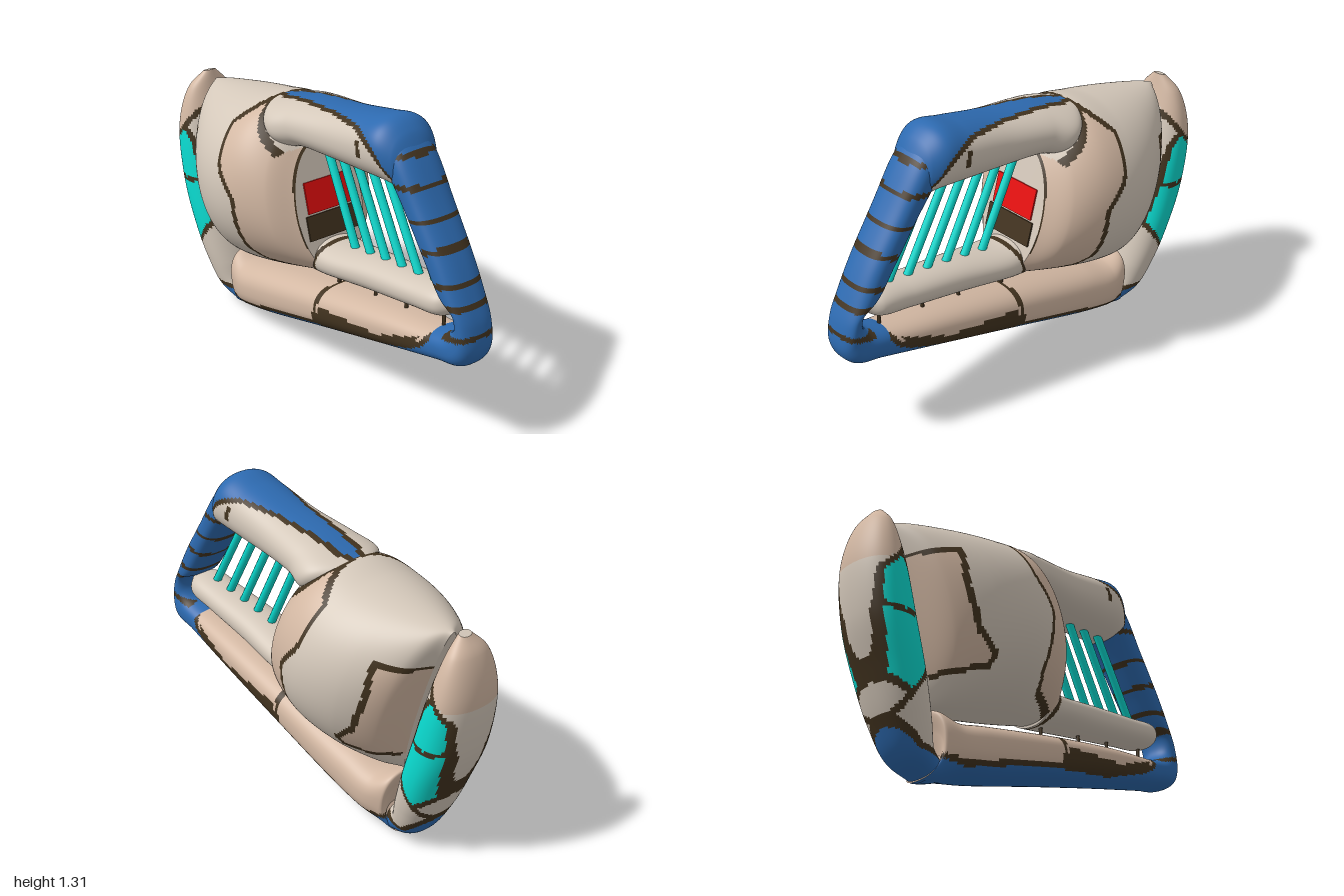
import * as THREE from 'three';

const mat = (name, color) => Object.assign(new THREE.MeshStandardMaterial({ color }), { name });
const BEIGE = 0, TAN = 1, BLUE = 2, DARK = 3, TEAL = 4, RED = 5;

// is (x, y) inside the polygon
function inside(x, y, poly) {
  let hit = false;
  for (let i = 0, j = poly.length - 1; i < poly.length; j = i++) {
    const [ax, ay] = poly[i], [bx, by] = poly[j];
    if ((ay > y) !== (by > y) && x < ((bx - ax) * (y - ay)) / (by - ay) + ax) hit = !hit;
  }
  return hit;
}

// is (x, y) within w of the polyline
function near(x, y, line, w) {
  for (let i = 0; i + 1 < line.length; i++) {
    const [ax, ay] = line[i], dx = line[i + 1][0] - ax, dy = line[i + 1][1] - ay;
    const t = THREE.MathUtils.clamp(((x - ax) * dx + (y - ay) * dy) / (dx * dx + dy * dy), 0, 1);
    if (Math.hypot(x - ax - t * dx, y - ay - t * dy) < w) return true;
  }
  return false;
}

// Inflated cushion: rows are [left edge x, y, right edge x, y, half thickness] along its length.
// Areas and lines choose the colour of each face. They lie in the xy plane, or, when wrap is
// [length, size per radian], in distance along the cushion and distance around it.
function cushion(rows, nu, nv, power, base, areas, lines, wrap) {
  const left = new THREE.CatmullRomCurve3(rows.map(r => new THREE.Vector3(r[0], r[1], r[4])));
  const right = new THREE.CatmullRomCurve3(rows.map(r => new THREE.Vector3(r[2], r[3], 0)));
  const soft = v => Math.sign(v) * Math.abs(v) ** (2 / power);
  const pos = [], lists = [[], [], [], [], [], []];
  for (let i = 0; i <= nu; i++) {
    const l = left.getPoint(i / nu), r = right.getPoint(i / nu);
    for (let j = 0; j < nv; j++) {
      const a = (j / nv) * Math.PI * 2, c = soft(Math.cos(a));
      pos.push((l.x + r.x + (l.x - r.x) * c) / 2, (l.y + r.y + (l.y - r.y) * c) / 2, l.z * soft(Math.sin(a)));
    }
  }
  const colourAt = (x, y) => {
    if (lines.some(l => near(x, y, l, 0.0115))) return DARK;
    let m = base;
    for (const [k, poly] of areas) if (inside(x, y, poly)) m = k;
    return m;
  };
  for (let i = 0; i < nu; i++) for (let j = 0; j < nv; j++) {
    const a = i * nv + j, b = i * nv + ((j + 1) % nv), c = a + nv, d = b + nv;
    const around = Math.min(j + 0.5, nv - j - 0.5) / nv * Math.PI * 2;
    const m = wrap
      ? colourAt((i + 0.5) / nu * wrap[0], around * wrap[1])
      : colourAt((pos[a * 3] + pos[d * 3]) / 2, (pos[a * 3 + 1] + pos[d * 3 + 1]) / 2);
    lists[m].push(a, b, c, b, d, c);
  }
  // closed ends with their own rim points
  for (const i of [0, nu]) {
    const start = pos.length / 3, s = i * nv * 3;
    const rim = pos.slice(s, s + nv * 3), mid = [0, 0, 0];
    rim.forEach((v, k) => { mid[k % 3] += v / nv; });
    pos.push(...rim, ...mid);
    for (let j = 0; j < nv; j++) {
      const a = start + j, b = start + ((j + 1) % nv), c = start + nv;
      lists[base].push(...(i ? [a, b, c] : [b, a, c]));
    }
  }
  const geo = new THREE.BufferGeometry();
  geo.setAttribute('position', new THREE.Float32BufferAttribute(pos, 3));
  let at = 0;
  lists.forEach((l, k) => { if (l.length) geo.addGroup(at, l.length, k); at += l.length; });
  geo.setIndex(lists.flat());
  geo.computeVertexNormals();
  return geo;
}

export function createModel() {
  const mats = [
    mat('beige', 0xd4c8ba), mat('tan', 0xd3b8a3), mat('blue', 0x2d6ab0),
    mat('darkBrown', 0x42331f), mat('teal', 0x0adbd0), mat('red', 0xf81010),
  ];
  const model = new THREE.Group();
  const add = (name, geo, material) => {
    const mesh = new THREE.Mesh(geo, material);
    mesh.name = name;
    model.add(mesh);
    return mesh;
  };
  const rod = (name, a, b, r, material) => {
    const from = new THREE.Vector3(...a, 0), to = new THREE.Vector3(...b, 0);
    const mesh = add(name, new THREE.CylinderGeometry(r, r, from.distanceTo(to), 12), material);
    mesh.position.lerpVectors(from, to, 0.5);
    mesh.quaternion.setFromUnitVectors(new THREE.Vector3(0, 1, 0), to.sub(from).normalize());
  };

  // big round body
  const saddle = [[-0.26, 1.18], [-0.34, 1.08], [-0.31, 0.92], [-0.2, 0.78], [-0.19, 0.54], [-0.14, 0.475], [0.09, 0.46]];
  const panel = [[-0.78, 0.92], [-0.64, 0.945], [-0.62, 0.78], [-0.55, 0.6], [-0.46, 0.52], [-0.47, 0.475], [-0.62, 0.43]];
  add('body', cushion([
    [-0.83, 1.08, -0.605, 0.315, 0.06], [-0.775, 1.095, -0.54, 0.32, 0.21], [-0.61, 1.125, -0.41, 0.345, 0.325],
    [-0.42, 1.155, -0.24, 0.385, 0.37], [-0.25, 1.18, -0.1, 0.415, 0.345], [-0.13, 1.12, 0.03, 0.445, 0.28],
    [-0.05, 1.03, 0.11, 0.46, 0.175],
  ], 110, 160, 2.05, BEIGE,
  [[TAN, [...saddle, [0.3, 0.5], [0.2, 1.1], [-0.08, 1.0], [-0.18, 1.08]]], [TAN, [...panel, [-0.72, 0.4], [-0.88, 0.92]]]],
  [saddle, panel, [[-0.26, 1.18], [-0.18, 1.08], [-0.085, 1.0]], [[-0.045, 1.03], [0.08, 0.6]]]), mats);

  // upper arm with its blue top, a wedge that widens to wrap the far end
  const ridge = [[0, 0.015], [0.27, 0.045], [0.41, 0.075], [0.54, 0.13], [0.68, 0.225], [0.82, 0.33], [0.96, 0.42]];
  const root = [[0, 0.015], [0.13, 0.48]];
  add('upperArm', cushion([
    [-0.32, 1.17, -0.2, 1.0, 0.1], [-0.22, 1.19, -0.1, 1.0, 0.2], [-0.08, 1.22, 0, 1.02, 0.18],
    [0.15, 1.25, 0.18, 1.025, 0.16], [0.36, 1.29, 0.38, 1.035, 0.16], [0.48, 1.31, 0.52, 1.04, 0.155],
    [0.55, 1.27, 0.59, 1.03, 0.12], [0.61, 1.18, 0.61, 1.04, 0.07],
  ], 110, 80, 2.2, BEIGE, [[BLUE, [...ridge, [1, 0.42], [1, -0.1], [0, -0.1]]], [TAN, [...root, [0, 0.48]]]],
  [ridge, root, [[0.575, 0.2], [0.585, 0.25]]], [0.95, 0.15]), mats);

  // blue sloping post with dark bands
  const bands = [
    [[0.5, 1.17], [0.66, 1.2]], [[0.55, 1.06], [0.75, 1.09]], [[0.6, 0.925], [0.8, 0.98]], [[0.68, 0.815], [0.88, 0.88]],
    [[0.76, 0.715], [0.95, 0.74]], [[0.82, 0.65], [1, 0.65]], [[0.86, 0.5], [1.05, 0.55]],
  ];
  add('slopingPost', cushion([
    [0.78, 0.49, 0.84, 0.365, 0.1], [0.87, 0.52, 0.96, 0.395, 0.1], [0.9, 0.57, 1, 0.46, 0.09], [0.885, 0.64, 0.985, 0.57, 0.09],
    [0.82, 0.67, 0.94, 0.67, 0.1], [0.72, 0.8, 0.87, 0.8, 0.105], [0.6, 0.97, 0.73, 1.01, 0.11],
    [0.52, 1.07, 0.61, 1.19, 0.115], [0.45, 1.14, 0.52, 1.29, 0.1],
  ], 110, 56, 2.5, BLUE, [], bands), mats);

  // bottom rail
  const hem = [[-0.85, 0.22], [-0.7, 0.1], [-0.47, 0.085], [-0.2, 0.16], [0.1, 0.235], [0.44, 0.3], [0.7, 0.39], [0.76, 0.43], [0.83, 0.53]];
  const hemArea = [...hem, [1.1, 0.53], [1.1, -0.1], [-0.85, -0.1]];
  const wedge = [[0.1, 0.24], [0.13, 0.33], [0.5, 0.36], [0.74, 0.45], [0.7, 0.38], [0.44, 0.3]];
  add('bottomRail', cushion([
    [-0.55, 0.12, -0.62, 0, 0.085], [-0.575, 0.21, -0.58, 0.005, 0.105], [-0.595, 0.3, -0.545, 0.015, 0.125],
    [-0.5, 0.275, -0.46, 0.045, 0.15], [-0.35, 0.305, -0.3, 0.08, 0.155], [0.1, 0.395, 0.12, 0.19, 0.145],
    [0.5, 0.46, 0.52, 0.29, 0.125], [0.78, 0.49, 0.84, 0.365, 0.1],
  ], 190, 56, 2.5, TAN, [[BLUE, hemArea], [DARK, wedge]], [hem, [[0.1, 0.235], [0.11, 0.42]]]), mats);

  // rail under the opening
  add('innerRail', cushion([
    [0.02, 0.62, 0.04, 0.435, 0.12], [0.12, 0.605, 0.13, 0.455, 0.13], [0.4, 0.64, 0.4, 0.495, 0.11],
    [0.65, 0.665, 0.67, 0.535, 0.1], [0.8, 0.68, 0.82, 0.56, 0.09], [0.855, 0.665, 0.86, 0.59, 0.05],
  ], 90, 48, 2.2, BEIGE, [], [[[0.06, 0.45], [0.1, 0.6]]]), mats);

  // tail lobe at the right-hand end
  const pane = [[-0.88, 0.86], [-0.83, 0.8], [-0.77, 0.62], [-0.695, 0.435], [-0.79, 0.28], [-0.88, 0.35], [-0.955, 0.6], [-0.965, 0.77], [-0.88, 0.86]];
  add('tailLobe', cushion([
    [-0.87, 1.11, -0.91, 1.1, 0.03], [-0.85, 1.03, -0.96, 1.03, 0.1], [-0.8, 0.86, -1, 0.86, 0.155],
    [-0.725, 0.6, -0.975, 0.6, 0.17], [-0.667, 0.4, -0.9, 0.39, 0.165], [-0.615, 0.22, -0.82, 0.2, 0.14],
    [-0.59, 0.13, -0.73, 0.06, 0.11], [-0.56, 0.11, -0.6, 0.0, 0.085],
  ], 120, 80, 2.2, BEIGE,
  [[TAN, [[-1.1, 0.8], [-0.87, 0.84], [-0.83, 1], [-0.83, 1.2], [-1.1, 1.2]]], [BLUE, hemArea], [TEAL, pane]],
  [pane, hem, [[-0.95, 0.62], [-0.86, 0.6], [-0.76, 0.62]], [[-0.88, 0.86], [-0.83, 0.95]], [[-0.79, 0.28], [-0.83, 0.18]]]), mats);

  // six slanting bars across the opening
  for (let i = 0; i < 6; i++)
    rod('bar', [-0.005 + 0.096 * i, 1.05 + 0.008 * i], [0.22 + 0.104 * i, 0.59 + 0.01 * i], 0.019, mats[TEAL]);

  // little ties between the rails
  for (const [x, y] of [[0.1, 0.42], [0.35, 0.455], [0.55, 0.495], [0.78, 0.525]])
    rod('tie', [x, y - 0.05], [x, y + 0.05], 0.008, mats[DARK]);

  // red lamp and dark patch on the inner wall of the opening
  for (const [name, k, t, h, w] of [['lamp', RED, 0.4, 0.14, 0.24], ['lampBase', DARK, 0.625, 0.11, 0.27]]) {
    const plate = add(name, new THREE.BoxGeometry(0.009, h, w), mats[k]);
    plate.position.set(-0.047 + 0.16 * t, 1.03 - 0.57 * t, 0);
    plate.rotation.z = 0.275;
  }
  return model;
}
